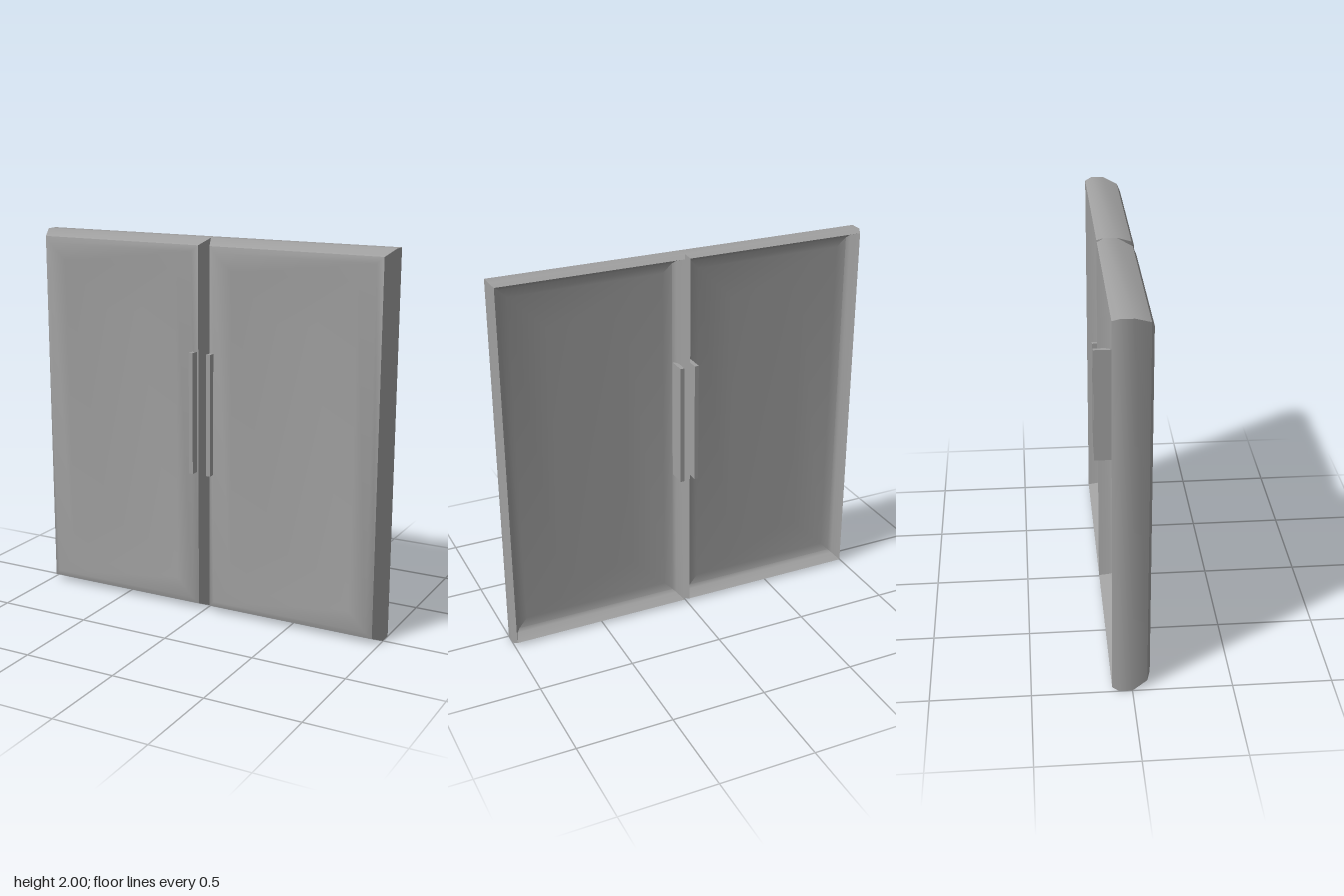
import * as THREE from 'three';
import { toCreasedNormals } from 'three/addons/utils/BufferGeometryUtils.js';

const HEIGHT = 2;

// Door leaf section, back to front: [inset from the outline, z]
const SECTION = [
  [0.3, -0.012],   // hollow back panel
  [0.1, -0.018],
  [0.053, -0.027],
  [0.037, -0.042], // rounded inner wall
  [0.015, -0.1],   // back rim
  [0, -0.065],
  [0, 0],          // widest part
  [0.033, 0.076],  // front bevel
  [0.065, 0.091],  // raised lip
  [0.16, 0.08],    // gently dished front panel
  [0.4, 0.07],
];

// Lofts rectangular rings through the section and caps both ends
function leafGeometry(x0, x1) {
  const positions = [];
  const index = [];
  for (const [inset, z] of SECTION) {
    const l = x0 + inset, r = x1 - inset, b = inset, t = HEIGHT - inset;
    positions.push(l, b, z, r, b, z, r, t, z, l, t, z);
  }
  for (let k = 0; k < SECTION.length - 1; k++) {
    for (let i = 0; i < 4; i++) {
      const j = (i + 1) % 4;
      const a = k * 4 + i, b = k * 4 + j;
      index.push(a, b, b + 4, a, b + 4, a + 4);
    }
  }
  const f = (SECTION.length - 1) * 4;
  index.push(0, 2, 1, 0, 3, 2, f, f + 1, f + 2, f, f + 2, f + 3);
  const geometry = new THREE.BufferGeometry();
  geometry.setAttribute('position', new THREE.Float32BufferAttribute(positions, 3));
  geometry.setIndex(index);
  return toCreasedNormals(geometry, THREE.MathUtils.degToRad(36));
}

export function createModel() {
  const group = new THREE.Group();
  group.name = 'doubleDoor';

  const grey = new THREE.MeshStandardMaterial({ color: 0xa0a0a0 });
  grey.name = 'door grey';

  // Upright handle bar between two depths
  const addHandle = (parent, name, x, z0, z1) => {
    const handle = new THREE.Mesh(new THREE.BoxGeometry(0.022, 0.645, z1 - z0), grey);
    handle.name = name;
    handle.position.set(x, 1.098, (z0 + z1) / 2);
    parent.add(handle);
  };

  for (const [side, s] of [['left', 1], ['right', -1]]) {
    const door = new THREE.Group();
    door.name = side + 'Door';

    const leaf = new THREE.Mesh(leafGeometry(Math.min(0, s), Math.max(0, s)), grey);
    leaf.name = side + 'Leaf';
    door.add(leaf);

    addHandle(door, side + 'FrontHandle', s * 0.051, 0.06, 0.126);
    addHandle(door, side + 'BackHandle', s * 0.04, -0.126, -0.02);
    group.add(door);
  }
  return group;
}
